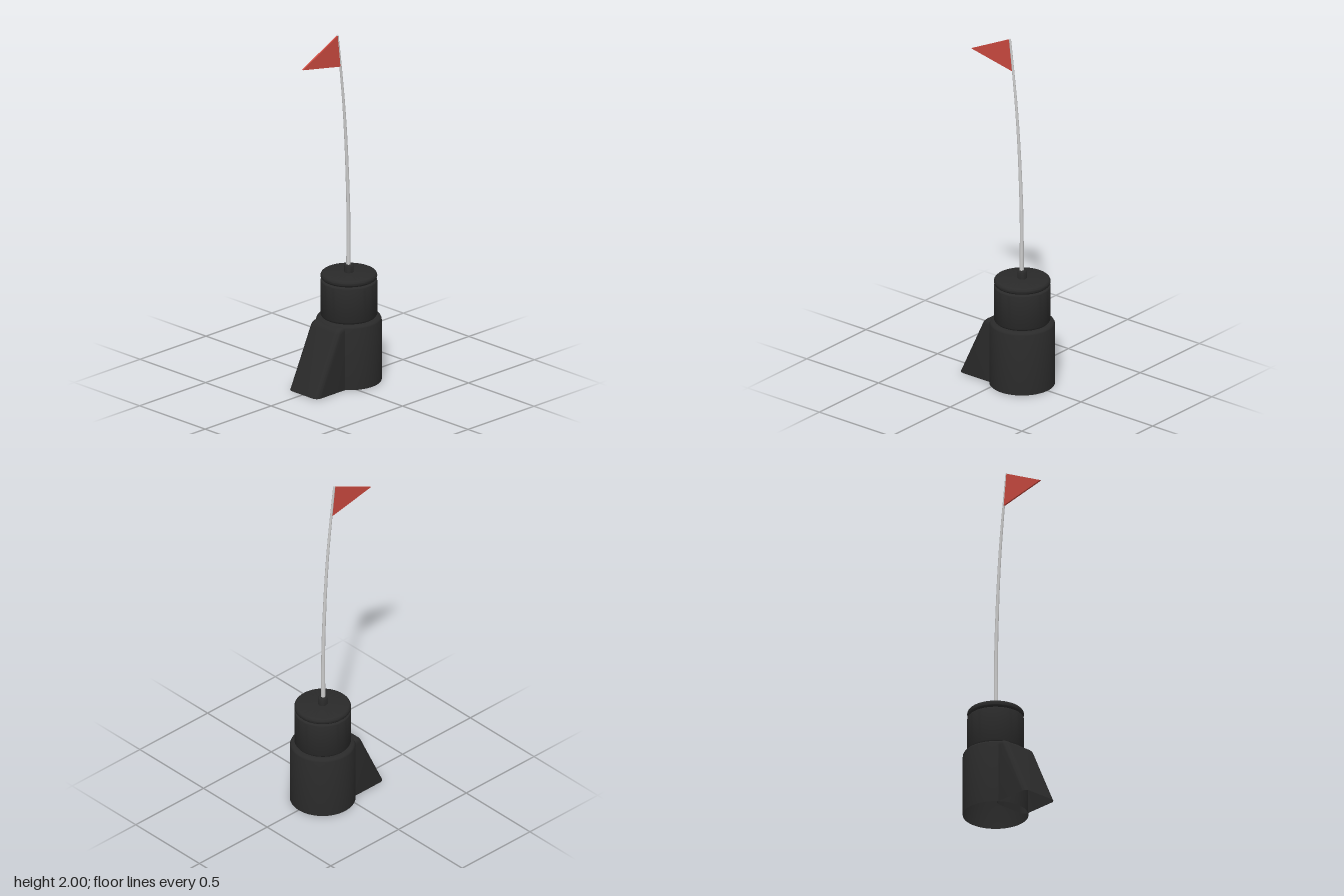
import * as THREE from 'three';
import { toCreasedNormals } from 'three/addons/utils/BufferGeometryUtils.js';

const black = new THREE.MeshStandardMaterial({ color: 0x2a2a2a, side: THREE.DoubleSide });
const grey = new THREE.MeshStandardMaterial({ color: 0xcccccc });
const red = new THREE.MeshStandardMaterial({ color: 0xcc4a40 });
const AXIS_Z = -0.09; // centre line of the round body

function add(group, name, geometry, material) {
  const mesh = new THREE.Mesh(geometry, material);
  mesh.name = name;
  group.add(mesh);
  return mesh;
}

// Turned part from [radius, height] pairs
function turned(group, name, profile, segments = 64) {
  const points = profile.map(([r, y]) => new THREE.Vector2(r, y));
  const geometry = toCreasedNormals(new THREE.LatheGeometry(points, segments), 0.7);
  add(group, name, geometry, black).position.z = AXIS_Z;
}

// Quarter-round shoulder ending at radius r and height y
function shoulder(r, y, round, steps = 5) {
  return Array.from({ length: steps + 1 }, (_, i) => {
    const a = (i / steps) * Math.PI / 2;
    return [r - round + round * Math.cos(a), y - round + round * Math.sin(a)];
  });
}

// Sloping foot: rounded rectangles stacked upward, open underneath
function wedgeGeometry() {
  const backZ = 0.02, steps = 6;
  const levels = [ // height, half width, front z, corner radius
    [0, 0.11, 0.263, 0.03], [0.33, 0.11, 0.107, 0.03], [0.343, 0.109, 0.099, 0.029],
    [0.352, 0.105, 0.088, 0.026], [0.357, 0.099, 0.077, 0.02], [0.36, 0.09, 0.062, 0.015],
  ];
  const positions = [], index = [];
  for (const [y, w, front, r] of levels) {
    const corners = [[w - r, front - r], [-w + r, front - r], [-w + r, backZ + r], [w - r, backZ + r]];
    corners.forEach(([cx, cz], c) => {
      for (let i = 0; i <= steps; i++) {
        const a = (c + i / steps) * Math.PI / 2;
        positions.push(cx + r * Math.cos(a), y, cz + r * Math.sin(a));
      }
    });
  }
  const n = 4 * (steps + 1), last = (levels.length - 1) * n;
  for (let k = 0; k < levels.length - 1; k++) {
    for (let i = 0; i < n; i++) {
      const a = k * n + i, b = k * n + (i + 1) % n;
      index.push(a, a + n, b, b, a + n, b + n);
    }
  }
  const centre = positions.length / 3;
  positions.push(0, 0.36, 0.04);
  for (let i = 0; i < n; i++) index.push(last + i, centre, last + (i + 1) % n);
  const geometry = new THREE.BufferGeometry();
  geometry.setAttribute('position', new THREE.Float32BufferAttribute(positions, 3));
  geometry.setIndex(index);
  return toCreasedNormals(geometry, 0.6);
}

// Bent rod that thins toward the tip
function poleGeometry(curve, baseRadius, tipRadius) {
  const rings = 28, sides = 10;
  const geometry = new THREE.TubeGeometry(curve, rings, 1, sides);
  const pos = geometry.attributes.position, v = new THREE.Vector3();
  for (let i = 0; i < pos.count; i++) {
    const t = Math.floor(i / (sides + 1)) / rings;
    const c = curve.getPointAt(t);
    v.fromBufferAttribute(pos, i).sub(c).multiplyScalar(THREE.MathUtils.lerp(baseRadius, tipRadius, t)).add(c);
    pos.setXYZ(i, v.x, v.y, v.z);
  }
  return geometry;
}

export function createModel() {
  const model = new THREE.Group();
  model.name = 'flagOnStand';

  // Round body, hollow underneath
  turned(model, 'lowerBody', [[0.177, 0], ...shoulder(0.177, 0.366, 0.024), [0.14, 0.366]]);
  turned(model, 'upperBody', [
    [0.14, 0.362], [0.148, 0.369], [0.153, 0.378], ...shoulder(0.153, 0.576, 0.012), [0.13, 0.576],
  ]);
  const capRim = Array.from({ length: 11 }, (_, i) => {
    const a = (i / 10 - 0.5) * Math.PI;
    return [0.135 + 0.018 * Math.cos(a), 0.596 + 0.019 * Math.sin(a)];
  });
  turned(model, 'cap', [[0.12, 0.577], ...capRim, [0, 0.615]]);
  turned(model, 'poleSocket', [[0.025, 0.61], ...shoulder(0.025, 0.66, 0.007), [0, 0.66]], 24);

  add(model, 'wedgeFoot', wedgeGeometry(), black);

  // Pole bending forward at the top
  const curve = new THREE.CatmullRomCurve3([
    [0.62, -0.086], [0.95, -0.086], [1.2, -0.077], [1.4, -0.066], [1.6, -0.05], [1.82, -0.026], [1.993, -0.005],
  ].map(([y, z]) => new THREE.Vector3(0, y, z)));
  add(model, 'pole', poleGeometry(curve, 0.012, 0.006), grey);
  add(model, 'poleTip', new THREE.SphereGeometry(0.006, 10, 6), grey).position.set(0, 1.994, -0.005);

  // Pennant, drawn in the z-y plane
  const pennant = new THREE.Shape([[0.002, 1.995], [-0.262, 1.868], [0.024, 1.813]].map(([x, y]) => new THREE.Vector2(x, y)));
  const flag = new THREE.ExtrudeGeometry(pennant, { depth: 0.009, bevelEnabled: false });
  flag.translate(0, 0, -0.0045).rotateY(Math.PI / 2);
  add(model, 'flag', flag, red);

  return model;
}
